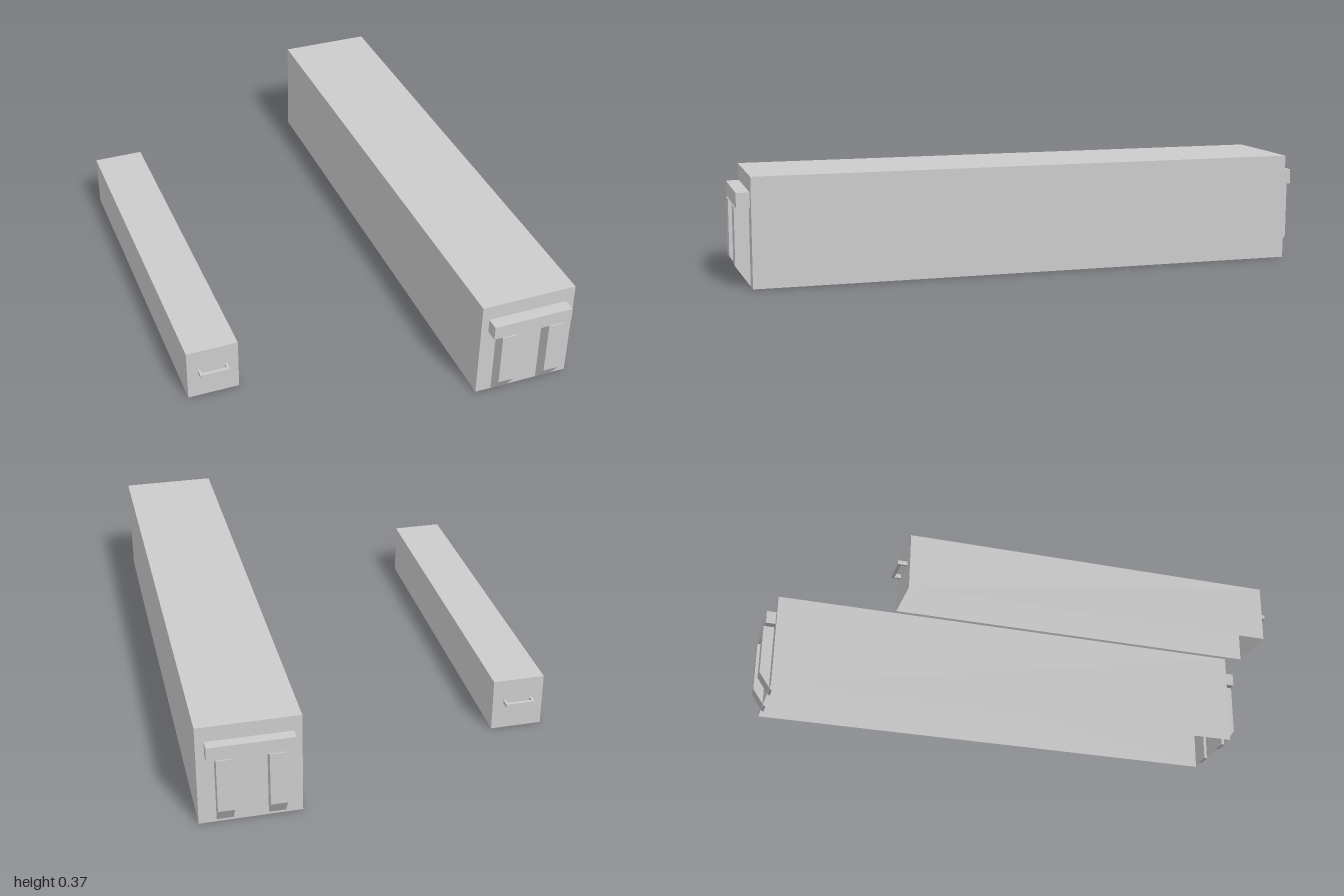
import * as THREE from 'three';

const material = new THREE.MeshStandardMaterial({ color: 0xcccccc, flatShading: true, side: THREE.DoubleSide });

function add(parent, geometry, name) {
  const mesh = new THREE.Mesh(geometry, material);
  mesh.name = name;
  parent.add(mesh);
  return mesh;
}

// Box given by its corner ranges
function block(parent, name, [x0, x1], [y0, y1], [z0, z1]) {
  const geometry = new THREE.BoxGeometry(x1 - x0, y1 - y0, z1 - z0);
  geometry.translate((x0 + x1) / 2, (y0 + y1) / 2, (z0 + z1) / 2);
  return add(parent, geometry, name);
}

// Thin cover with an open underside
function cover(parent, name, xs, ys, zs) {
  const mesh = block(parent, name, xs, ys, zs);
  const index = Array.from(mesh.geometry.index.array);
  index.splice(18, 6); // drop the bottom face
  mesh.geometry.setIndex(index);
  mesh.geometry.clearGroups();
}

// Upright with a chamfered foot; the profile is drawn in (depth, y) and extruded along x
function upright(parent, name, x0, x1, wall, outer, side) {
  const inner = wall - 0.012;
  const shape = new THREE.Shape([
    [inner, 0], [0.953, 0], [outer, 0.067], [outer, 0.264], [inner, 0.264],
  ].map(([d, y]) => new THREE.Vector2(d, y)));
  const geometry = new THREE.ExtrudeGeometry(shape, { depth: x1 - x0, bevelEnabled: false });
  geometry.rotateY(-Math.PI / 2); // depth to +z, extrusion to -x
  geometry.translate(x1, 0, 0);
  if (side < 0) {
    geometry.rotateY(Math.PI);
    geometry.translate(x0 + x1, 0, 0);
  }
  add(parent, geometry, name);
}

// Depth range on the front (side 1) or back (side -1)
const range = (side, inner, outer) => (side > 0 ? [inner, outer] : [-outer, -inner]);

export function createModel() {
  const model = new THREE.Group();
  model.name = 'model';

  // Large cover with a T-bracket of two uprights and a crossbar at each end
  const large = new THREE.Group();
  large.name = 'largeCover';
  model.add(large);
  cover(large, 'largeShell', [0.298, 0.645], [0, 0.37], [-0.959, 0.951]);
  for (const [side, wall, label] of [[1, 0.951, 'front'], [-1, 0.959, 'back']]) {
    block(large, label + 'Crossbar', [0.325, 0.616], [0.264, 0.315], range(side, wall - 0.005, 0.996));
    upright(large, label + 'RightUpright', 0.356, 0.413, wall, 1, side);
    upright(large, label + 'LeftUpright', 0.53, 0.586, wall, 1, side);
  }

  // Small cover with a U-shaped handle at each end
  const small = new THREE.Group();
  small.name = 'smallCover';
  model.add(small);
  cover(small, 'smallShell', [-0.645, -0.46], [0, 0.195], [-0.648, 0.634]);
  for (const [side, wall, label] of [[1, 0.634, 'front'], [-1, 0.648, 'back']]) {
    const outer = wall + 0.032, ys = [0.101, 0.115];
    const handle = new THREE.Group();
    handle.name = label + 'Handle';
    small.add(handle);
    block(handle, 'grip', [-0.606, -0.5], ys, range(side, outer - 0.011, outer));
    for (const x of [-0.606, -0.509]) {
      block(handle, 'handlePost', [x, x + 0.009], ys, range(side, wall - 0.005, outer - 0.011));
    }
  }
  return model;
}
